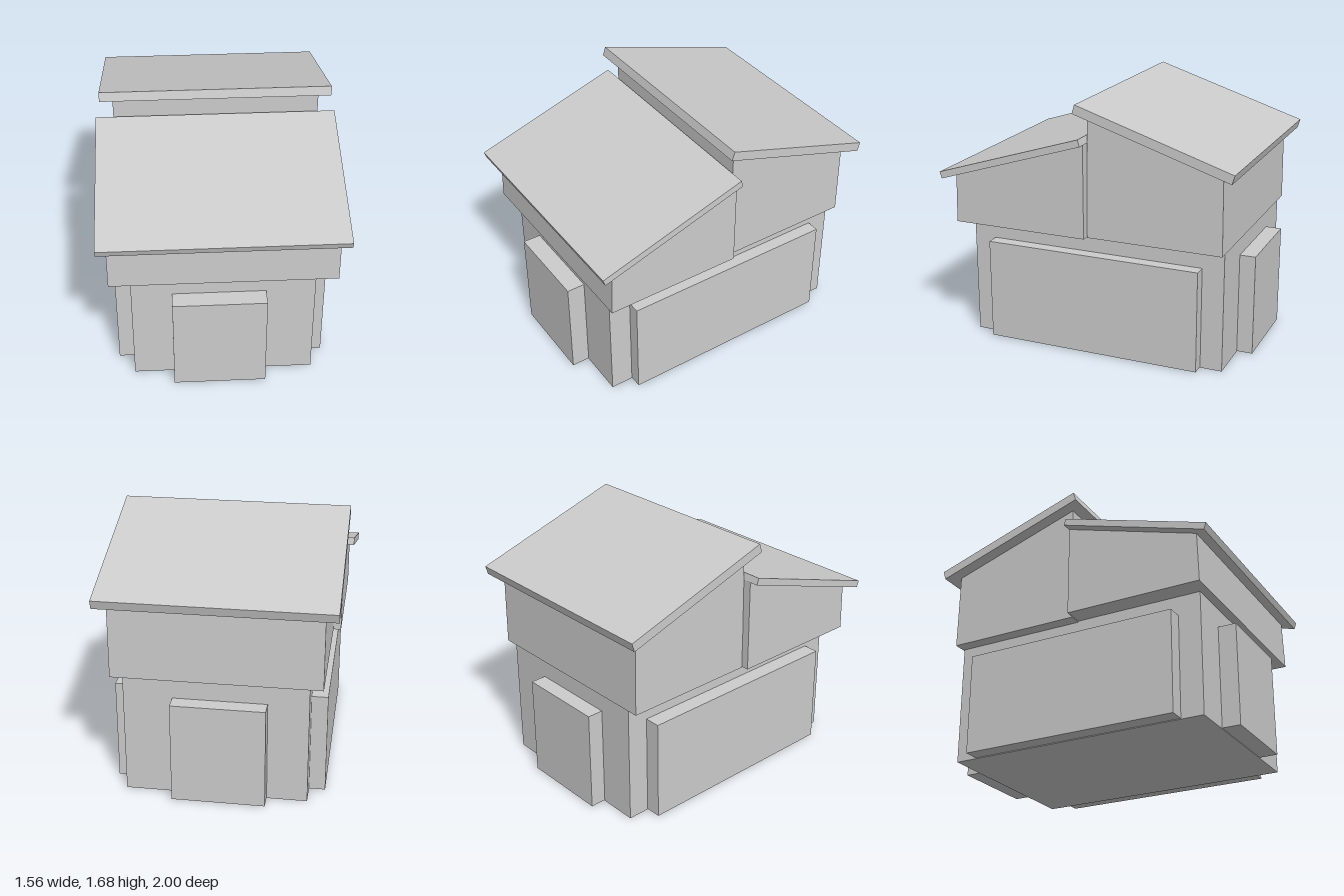
import * as THREE from 'three';

const material = new THREE.MeshStandardMaterial({ color: 0xcccccc, flatShading: true });

function add(group, name, geometry) {
  const mesh = new THREE.Mesh(geometry, material);
  mesh.name = name;
  group.add(mesh);
}

// Box given by its limits on each axis
function box([x0, x1], [y0, y1], [z0, z1]) {
  return new THREE.BoxGeometry(x1 - x0, y1 - y0, z1 - z0)
    .translate((x0 + x1) / 2, (y0 + y1) / 2, (z0 + z1) / 2);
}

// Side profile of [z, y] points extruded across the width
function prism([x0, x1], profile) {
  const shape = new THREE.Shape(profile.map(([z, y]) => new THREE.Vector2(-z, y)));
  return new THREE.ExtrudeGeometry(shape, { depth: x1 - x0, bevelEnabled: false })
    .rotateY(Math.PI / 2)
    .translate(x0, 0, 0);
}

export function createModel() {
  const house = new THREE.Group();
  house.name = 'house';

  // Ground floor with a raised panel on each side
  add(house, 'groundFloor', box([-0.585, 0.59], [0, 0.81], [-0.895, 0.86]));
  add(house, 'frontPanel', box([-0.325, 0.275], [0.005, 0.68], [0.8, 0.98]));
  add(house, 'backPanel', box([-0.325, 0.275], [0.005, 0.68], [-1, -0.8]));
  add(house, 'leftPanel', box([0.5, 0.675], [0.005, 0.68], [-0.75, 0.71]));
  add(house, 'rightPanel', box([-0.69, -0.5], [0.005, 0.68], [-0.75, 0.71]));

  // Overhanging upper floor: wide low front half, narrower tall back half
  add(house, 'frontUpperFloor', prism([-0.72, 0.725],
    [[0.917, 0.81], [0.908, 1.137], [-0.003, 1.427], [-0.003, 0.81]]));
  add(house, 'backUpperFloor', prism([-0.668, 0.67],
    [[0, 0.803], [-0.01, 1.6], [-0.9, 1.317], [-0.905, 0.803]]));

  // Two offset roof slabs
  add(house, 'frontRoof', prism([-0.782, 0.78],
    [[1, 1.156], [0.985, 1.112], [-0.008, 1.427], [0.005, 1.472]]));
  add(house, 'backRoof', prism([-0.75, 0.745],
    [[0.04, 1.68], [0.058, 1.622], [-0.975, 1.292], [-0.992, 1.35]]));

  return house;
}
